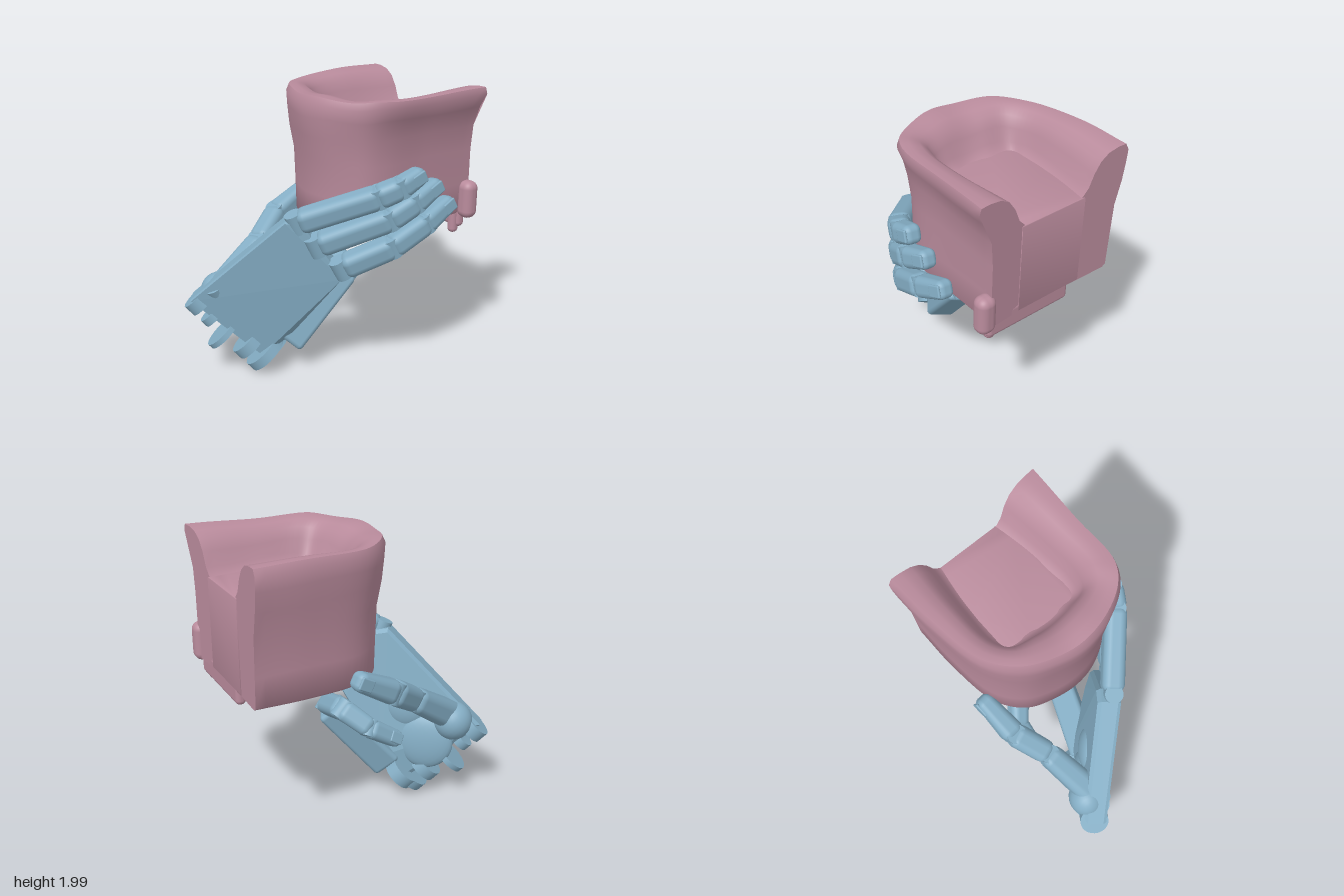
import * as THREE from 'three';
import { toCreasedNormals } from 'three/addons/utils/BufferGeometryUtils.js';
import { RoundedBoxGeometry } from 'three/addons/geometries/RoundedBoxGeometry.js';
import { ConvexGeometry } from 'three/addons/geometries/ConvexGeometry.js';

const V = (x, y, z) => new THREE.Vector3(x, y, z);
const blue = new THREE.MeshStandardMaterial({ color: 0x84adc4 });
const pink = new THREE.MeshStandardMaterial({ color: 0xb98b9c, side: THREE.DoubleSide });

function add(parent, name, geometry, material) {
  const mesh = new THREE.Mesh(geometry, material);
  mesh.name = name;
  parent.add(mesh);
  return mesh;
}

// Turns a mesh so its y axis runs along dir and its z axis faces the hint
function orient(mesh, dir, hint) {
  const y = dir.clone().normalize();
  const x = y.clone().cross(hint).normalize();
  mesh.quaternion.setFromRotationMatrix(new THREE.Matrix4().makeBasis(x, y, x.clone().cross(y)));
  return mesh;
}

// Tapered rounded bar from a to b
function bar(parent, name, a, b, w0, w1, hint, round) {
  const dir = b.clone().sub(a), len = dir.length();
  const geo = new RoundedBoxGeometry(w0, len, w0 * 0.95, 3, w0 * round);
  const p = geo.attributes.position;
  for (let i = 0; i < p.count; i++) {
    const s = THREE.MathUtils.lerp(1, w1 / w0, p.getY(i) / len + 0.5);
    p.setX(i, p.getX(i) * s);
    p.setZ(i, p.getZ(i) * s);
  }
  const mesh = orient(add(parent, name, geo, blue), dir, hint);
  mesh.position.copy(a).lerp(b, 0.5);
}

function pin(parent, name, at, axis, radius, length) {
  const mesh = add(parent, name, toCreasedNormals(new THREE.CylinderGeometry(radius, radius, length, 24), 0.6), blue);
  orient(mesh, axis, Math.abs(axis.z) > 0.9 ? V(1, 0, 0) : V(0, 0, 1));
  mesh.position.copy(at);
}

// Chain of phalanges through the given joints, with hinge pins and a nail
function finger(parent, name, joints, widths, hint) {
  const g = new THREE.Group();
  g.name = name;
  parent.add(g);
  for (let i = 0; i < joints.length - 1; i++) {
    const dir = joints[i + 1].clone().sub(joints[i]).normalize();
    const a = joints[i].clone().addScaledVector(dir, i ? -0.015 : 0.015);
    const b = joints[i + 1].clone().addScaledVector(dir, 0.015);
    bar(g, 'phalanx', a, b, widths[i], widths[i + 1], hint, 0.33);
    pin(g, 'hinge', joints[i], dir.clone().cross(hint).normalize(), widths[i] * 0.38, widths[i] * 0.85);
  }
  const n = joints.length - 1, w = widths[n];
  const dir = joints[n].clone().sub(joints[n - 1]).normalize();
  const out = hint.clone().addScaledVector(dir, -hint.dot(dir)).normalize();
  const nail = add(g, 'nail', new RoundedBoxGeometry(w * 0.68, w * 0.85, 0.02, 2, 0.009), blue);
  orient(nail, dir, hint);
  nail.position.copy(joints[n]).addScaledVector(dir, -w * 0.4).addScaledVector(out, w * 0.47);
}

function buildHand() {
  const hand = new THREE.Group();
  hand.name = 'hand';
  const out = V(-0.67, -0.1, 0.74), across = V(0.55, -0.73, 0.4).normalize();

  // Palm plate: back-of-hand outline given thickness and a small bevel
  const outline = [V(-0.925, 0.56, -0.41), V(-0.46, 1.2, 0.11), V(-0.38, 1.18, 0.17),
    V(-0.15, 0.79, 0.33), V(-0.19, 0.69, 0.25), V(-0.36, 0.26, -0.03), V(-0.52, 0.12, -0.13)];
  const mid = outline.reduce((s, p) => s.add(p), V(0, 0, 0)).divideScalar(outline.length);
  const pts = [];
  for (const p of outline) {
    for (const [depth, s] of [[0, 0.98], [-0.02, 1], [-0.13, 1], [-0.155, 0.95]]) {
      pts.push(mid.clone().lerp(p, s).addScaledVector(out, depth));
    }
  }
  add(hand, 'palm', new ConvexGeometry(pts), blue);

  // Thumb mount and inner palm pads
  for (const [at, r, flat, name] of [[V(-0.69, 0.59, -0.38), 0.14, 0.95, 'thumbMount'],
    [V(-0.44, 0.66, -0.15), 0.16, 0.45, 'palmPad'], [V(-0.52, 0.42, -0.29), 0.2, 0.3, 'heelPad']]) {
    const pad = add(hand, name, new THREE.SphereGeometry(r, 24, 16), blue);
    orient(pad, across, out);
    pad.scale.z = flat;
    pad.position.copy(at);
  }

  // Wrist tabs
  for (const [x, y, z, r, t] of [[-0.83, 0.53, -0.44, 0.1, 0.09], [-0.77, 0.42, -0.38, 0.08, 0.06],
    [-0.71, 0.28, -0.34, 0.13, 0.04], [-0.56, 0.2, -0.24, 0.12, 0.08],
    [-0.47, 0.13, -0.17, 0.15, 0.07], [-0.39, 0.16, -0.2, 0.12, 0.09]]) {
    pin(hand, 'wristTab', V(x, y, z), across, r, t);
  }

  // Three long fingers wrapped along the side of the chair
  const hint = V(-0.3, 0, 1).normalize(), widths = [0.165, 0.16, 0.15, 0.12];
  finger(hand, 'indexFinger', [V(-0.37, 1.18, 0.11), V(0.02, 1.38, 0.48), V(0.14, 1.44, 0.555), V(0.3, 1.505, 0.565)], widths, hint);
  finger(hand, 'middleFinger', [V(-0.28, 1.03, 0.21), V(0.08, 1.23, 0.525), V(0.25, 1.32, 0.57), V(0.45, 1.405, 0.56)], widths, hint);
  finger(hand, 'ringFinger', [V(-0.15, 0.87, 0.31), V(0.11, 1.03, 0.52), V(0.36, 1.15, 0.56), V(0.59, 1.25, 0.54)], widths, hint);

  // Little finger on its own folded palm section, curling back under the chair
  bar(hand, 'outerPalm', V(-0.33, 0.22, -0.09), V(0.09, 0.7, 0.03), 0.22, 0.19, V(-0.4, 0.3, 1).normalize(), 0.15);
  finger(hand, 'littleFinger', [V(0.09, 0.71, 0.06), V(0.15, 0.83, -0.3), V(0.01, 0.71, -0.42), V(-0.2, 0.58, -0.43)],
    [0.16, 0.15, 0.135, 0.115], V(0.6, 0.6, -0.5).normalize());

  // Thumb reaching behind the chair
  finger(hand, 'thumb', [V(-0.72, 0.6, -0.335), V(-0.32, 0.86, -0.43), V(-0.1, 1, -0.535), V(0.19, 1.15, -0.56)],
    [0.21, 0.17, 0.175, 0.125], V(0.1, 0.1, -1).normalize());
  return hand;
}

function buildChair() {
  const chair = new THREE.Group();
  chair.name = 'armchair';
  const N = 56, curve = (c) => new THREE.CatmullRomCurve3(c.map(([x, z]) => V(x, 0, z))).getPoints(N);
  const outer = curve([[0.87, -0.63], [0.5, -0.615], [0.1, -0.54], [-0.1, -0.38], [-0.19, -0.17], [-0.215, 0.02],
    [-0.17, 0.22], [-0.06, 0.41], [0.08, 0.5], [0.45, 0.52], [0.89, 0.55]]);
  const inner = curve([[0.86, -0.3], [0.5, -0.34], [0.25, -0.35], [0.15, -0.31], [0.12, -0.16], [0.115, -0.02],
    [0.12, 0.1], [0.15, 0.22], [0.25, 0.25], [0.5, 0.24], [0.86, 0.19]]);

  // Wall section as [fraction from outside to inside, height, extra tuck under the front arm]
  const section = [[0.3, 1.08, 0.1], [0.22, 1.1, 0.14], [0.2, 1.3, 0.14], [0.17, 1.55, 0.17], [0.05, 1.72, 0.25],
    [0, 1.85, 0.17], [-0.02, 1.94, 0.04], [0.06, 1.985, 0], [0.25, 1.985, 0], [0.48, 1.97, 0], [0.66, 1.93, 0],
    [0.8, 1.86, 0], [0.91, 1.77, 0], [1.06, 1.715, 0], [1.2, 1.7, 0], [1.2, 1.08, 0]];
  const M = section.length, pos = [], idx = [];
  for (let i = 0; i <= N; i++) {
    const front = THREE.MathUtils.smoothstep(i / N, 0.55, 0.85);
    for (const [f, y, tuck] of section) {
      const p = outer[i].clone().lerp(inner[i], f + tuck * front);
      const wave = y > 1.2 ? 0.006 * Math.sin(i * 0.5 + y * 9) : 0;
      pos.push(p.x, y + wave, p.z);
    }
  }
  for (let i = 0; i < N; i++) {
    for (let j = 0; j < M; j++) {
      const a = i * M + j, b = i * M + (j + 1) % M;
      idx.push(a, a + M, b + M, a, b + M, b);
    }
  }
  const caps = THREE.ShapeUtils.triangulateShape(section.map(([f, y]) => new THREE.Vector2(f, y)), []);
  for (const [a, b, c] of caps) idx.push(a, c, b, N * M + a, N * M + b, N * M + c);
  const wall = new THREE.BufferGeometry();
  wall.setAttribute('position', new THREE.Float32BufferAttribute(pos, 3));
  wall.setIndex(idx);
  add(chair, 'armsAndBack', toCreasedNormals(wall, 0.9), pink);

  // Seat block filling the space between the arms
  const shape = new THREE.Shape(inner.map((p) => new THREE.Vector2(p.x, -p.z)));
  const seat = new THREE.ExtrudeGeometry(shape, { depth: 0.61, bevelEnabled: true, bevelSize: 0.006, bevelThickness: 0.012, bevelSegments: 3 });
  seat.rotateX(-Math.PI / 2);
  add(chair, 'seat', toCreasedNormals(seat, 0.6), pink).position.y = 1.095;

  // Front skirt, sagging corner and feet: x, y, z centre then size
  for (const [name, x, y, z, w, h, d] of [['frontSkirt', 0.83, 1.06, 0.1, 0.07, 0.17, 0.66],
    ['frontCorner', 0.85, 1.19, 0.455, 0.12, 0.27, 0.13], ['foot', 0.8, 1.02, 0.375, 0.07, 0.18, 0.07],
    ['foot', 0.82, 1.08, -0.39, 0.06, 0.06, 0.05], ['foot', 0.1, 1.05, -0.06, 0.08, 0.1, 0.12]]) {
    add(chair, name, new RoundedBoxGeometry(w, h, d, 4, Math.min(w, h, d) * 0.45), pink).position.set(x, y, z);
  }
  return chair;
}

export function createModel() {
  const model = new THREE.Group();
  model.name = 'handHoldingArmchair';
  model.add(buildHand(), buildChair());
  return model;
}
